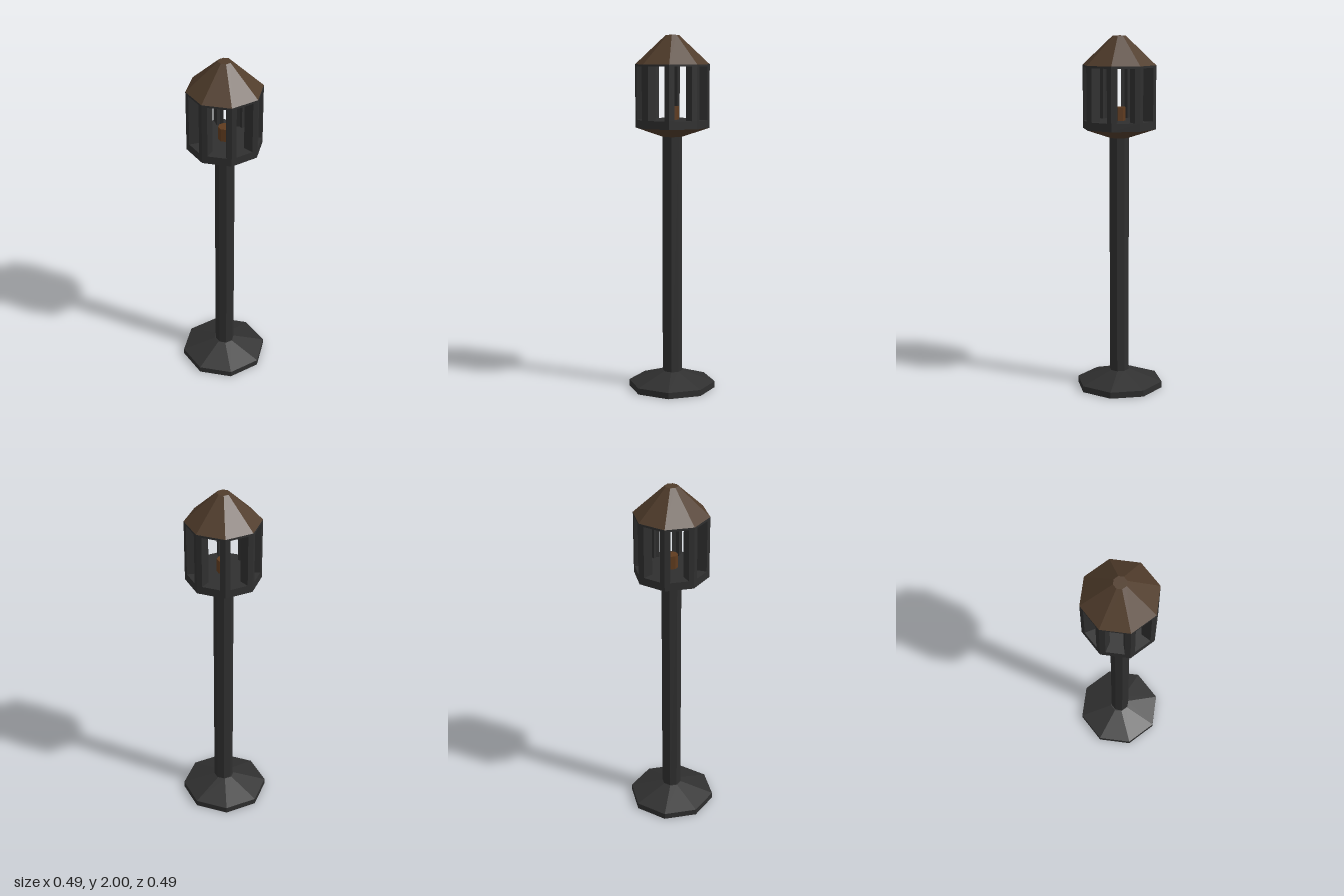
import * as THREE from 'three';

export function createModel() {
  const iron = new THREE.MeshStandardMaterial({ color: 0x2f2f2f });
  iron.name = 'dark iron';
  const bronze = new THREE.MeshStandardMaterial({ color: 0x503c2b });
  bronze.name = 'brown bronze';
  const amber = new THREE.MeshStandardMaterial({ color: 0x5f3b1e });
  amber.name = 'amber lamp';

  const model = new THREE.Group();
  model.name = 'lampPost';

  // Faceted eight-sided frustum between two heights, corners on the axes
  function octagon(name, parent, material, rBottom, rTop, y0, y1) {
    const geometry = new THREE.CylinderGeometry(rTop, rBottom, y1 - y0, 8).toNonIndexed();
    geometry.computeVertexNormals();
    const mesh = new THREE.Mesh(geometry, material);
    mesh.position.y = (y0 + y1) / 2;
    mesh.name = name;
    parent.add(mesh);
    return mesh;
  }

  // Foot
  octagon('footPlate', model, iron, 0.247, 0.247, 0, 0.035);
  octagon('footSlope', model, iron, 0.247, 0.055, 0.035, 0.1);

  // Pole and lantern sit very slightly off the foot's centre
  const upper = new THREE.Group();
  upper.name = 'poleAndLantern';
  upper.position.set(0.005, 0, -0.003);
  model.add(upper);
  octagon('pole', upper, iron, 0.055, 0.055, 0.08, 1.46);

  // Lantern body
  const R = 0.207;
  octagon('lanternUnderside', upper, bronze, 0.055, R, 1.44, 1.49);
  octagon('lanternFloor', upper, iron, R, R, 1.49, 1.535);
  octagon('lanternCeiling', upper, iron, R, R, 1.828, 1.84);
  octagon('lamp', upper, amber, 0.036, 0.036, 1.535, 1.61);

  // Wedge-shaped corner posts, each wrapping one corner of the octagon
  const strip = 0.029;
  const inner = 0.7;
  const dx = strip * Math.sin(Math.PI / 8);
  const dy = strip * Math.cos(Math.PI / 8);
  const outline = [[R - dx, -dy], [R, 0], [R - dx, dy]];
  const inside = outline.map(([x, y]) => [x * inner, y * inner]).reverse();
  const shape = new THREE.Shape([...outline, ...inside].map(([x, y]) => new THREE.Vector2(x, y)));
  const postGeometry = new THREE.ExtrudeGeometry(shape, { depth: 0.293, bevelEnabled: false });
  postGeometry.rotateX(-Math.PI / 2);
  for (let i = 0; i < 8; i++) {
    const post = new THREE.Mesh(postGeometry, iron);
    post.name = 'lanternPost';
    post.position.y = 1.535;
    post.rotation.y = (i * Math.PI) / 4;
    upper.add(post);
  }

  // Roof
  octagon('roof', upper, bronze, R, 0.036, 1.84, 2);

  return model;
}
